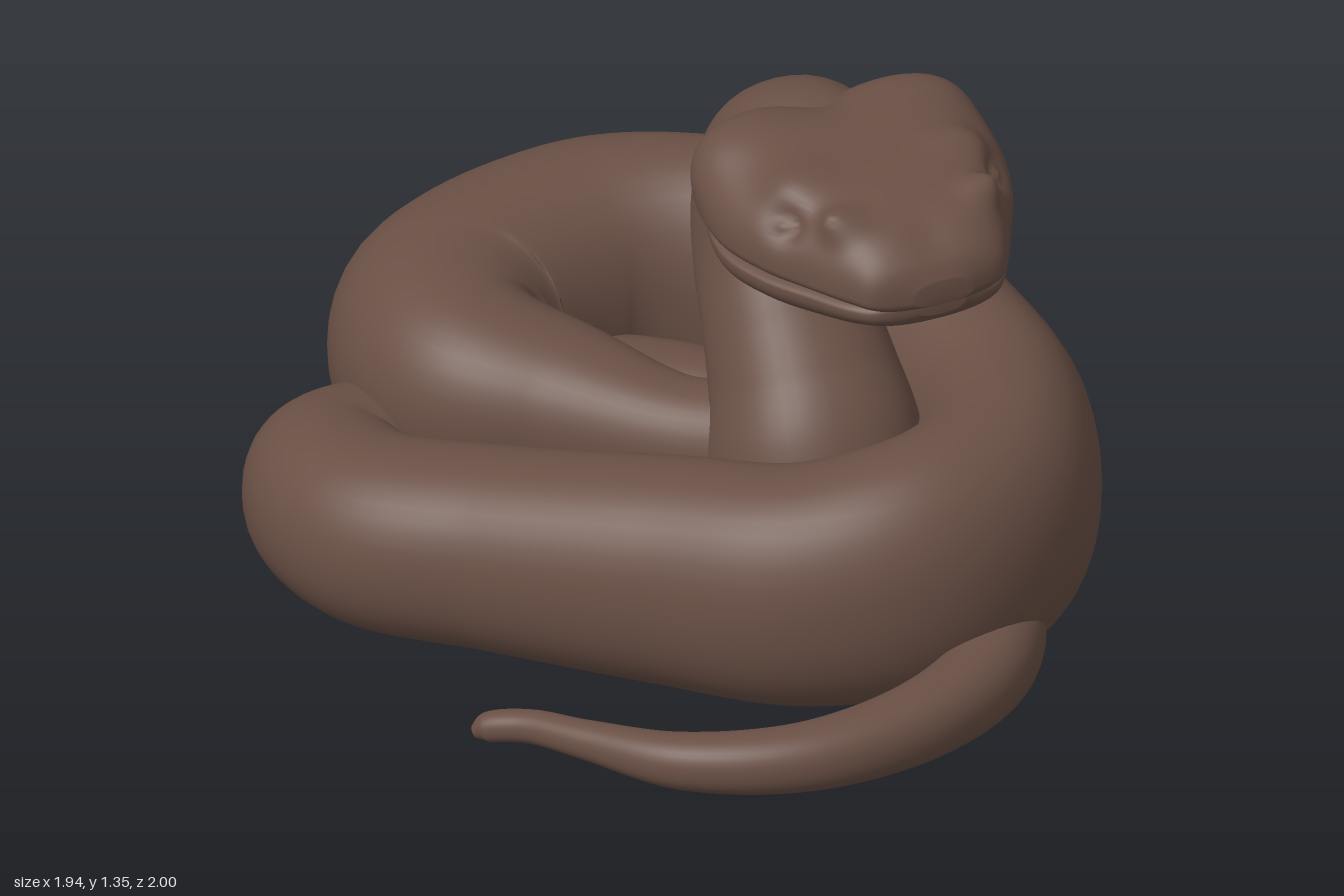
import * as THREE from 'three';

const UP = new THREE.Vector3(0, 1, 0);
const FORWARD = new THREE.Vector3(1, 0, 1).normalize(); // direction the head faces
const SIDE = new THREE.Vector3(1, 0, -1).normalize();

// Skin closed rings of points (counter-clockwise about the travel direction) and cap both ends
function skin(rings) {
  const n = rings[0].length, pos = [], idx = [];
  rings.forEach(r => r.forEach(p => pos.push(p.x, p.y, p.z)));
  for (let i = 0; i < rings.length - 1; i++) {
    for (let j = 0; j < n; j++) {
      const k = (j + 1) % n, a = i * n + j, b = i * n + k, c = a + n, d = b + n;
      idx.push(a, b, c, b, d, c);
    }
  }
  [0, rings.length - 1].forEach(i => {
    const m = rings[i].reduce((s, p) => s.add(p), new THREE.Vector3()).divideScalar(n);
    const center = pos.length / 3;
    pos.push(m.x, m.y, m.z);
    for (let j = 0; j < n; j++) {
      const a = i * n + j, b = i * n + (j + 1) % n;
      if (i === 0) idx.push(center, b, a); else idx.push(center, a, b);
    }
  });
  const g = new THREE.BufferGeometry();
  g.setAttribute('position', new THREE.Float32BufferAttribute(pos, 3));
  g.setIndex(idx);
  g.computeVertexNormals();
  return g;
}

const pow = (v, e) => Math.sign(v) * Math.pow(Math.abs(v), e);

// Oval tube along stations [x, y, z, halfWidth, halfHeight]
function tube(stations, steps, fixedSide) {
  const path = new THREE.CatmullRomCurve3(stations.map(s => new THREE.Vector3(s[0], s[1], s[2])));
  const size = new THREE.CatmullRomCurve3(stations.map(s => new THREE.Vector3(s[3], s[4] ?? s[3], 0)), false, 'catmullrom', 0.5);
  const rings = [], sides = 40;
  for (let i = 0; i <= steps; i++) {
    const t = i / steps, c = path.getPoint(t), T = path.getTangent(t), r = size.getPoint(t);
    const side = fixedSide ? fixedSide.clone() : new THREE.Vector3().crossVectors(UP, T).normalize();
    const up = new THREE.Vector3().crossVectors(T, side).normalize();
    const ring = [];
    for (let j = 0; j < sides; j++) {
      const a = j / sides * Math.PI * 2;
      ring.push(c.clone().addScaledVector(side, r.x * pow(Math.cos(a), 0.92)).addScaledVector(up, r.y * pow(Math.sin(a), 0.92)));
    }
    rings.push(ring);
  }
  return skin(rings);
}

// Head space: f forward, s sideways, y height
const headPoint = (f, s, y) => new THREE.Vector3(0.165, y, -0.165).addScaledVector(FORWARD, f).addScaledVector(SIDE, s);

// Swellings and hollows of the head, mirrored across it: [f, s, y, radius, amount]
const BUMPS = [
  [0.28, 0.23, 1.3, 0.13, 0.055],   // cheek lobes
  [0.16, 0, 1.32, 0.12, -0.05],     // notch between the lobes
  [0.54, 0.2, 1.32, 0.075, 0.035],  // brow ridges
  [0.7, 0.17, 1.29, 0.045, 0.05],   // nose horns
  [0.6, 0.27, 1.26, 0.04, -0.03],   // eye sockets
  [0.59, 0.275, 1.255, 0.016, 0.022], // eyes
  [0.78, 0, 1.28, 0.09, -0.015],    // dip on the snout
];

// Head shell along stations [f, halfWidth, top, middle, bottom]
function headLoft(stations, square, bumps) {
  const cA = new THREE.CatmullRomCurve3(stations.map(s => new THREE.Vector3(s[0], s[1], s[2])));
  const cB = new THREE.CatmullRomCurve3(stations.map(s => new THREE.Vector3(s[3], s[4], s[0])));
  const rings = [], steps = 90, sides = 96;
  for (let i = 0; i <= steps; i++) {
    const A = cA.getPoint(i / steps), B = cB.getPoint(i / steps), ring = [];
    for (let j = 0; j < sides; j++) {
      const a = j / sides * Math.PI * 2, sn = Math.sin(a);
      const h = sn > 0 ? A.z - B.x : B.x - B.y;
      const s = A.y * pow(Math.cos(a), square), y = B.x + h * pow(sn, square);
      let push = 0;
      for (const [bf, bs, by, r, amount] of bumps) {
        const d2 = (A.x - bf) ** 2 + (Math.abs(s) - bs) ** 2 + (y - by) ** 2;
        push += amount * Math.exp(-d2 / (r * r));
      }
      const len = Math.hypot(s, y - B.x) || 1;
      ring.push(headPoint(A.x, s * (1 + push / len), y + push * (y - B.x) / len));
    }
    rings.push(ring);
  }
  return skin(rings);
}

export function createModel() {
  const group = new THREE.Group();
  const skinMat = new THREE.MeshStandardMaterial({ color: 0x6a5045 });
  skinMat.name = 'brown skin';
  const add = (name, geometry) => {
    const m = new THREE.Mesh(geometry, skinMat);
    m.name = name;
    group.add(m);
  };

  // Tail, thickening as it winds under the coil
  add('tail', tube([
    [-0.2, 0.065, 0.87, 0.015], [-0.17, 0.08, 0.865, 0.034], [-0.07, 0.1, 0.865, 0.038],
    [0.08, 0.11, 0.9, 0.045], [0.32, 0.115, 0.93, 0.065], [0.58, 0.125, 0.84, 0.078],
    [0.77, 0.13, 0.62, 0.09], [0.845, 0.13, 0.35, 0.1], [0.78, 0.13, 0.1, 0.11],
    [0.6, 0.14, -0.04, 0.12], [0.4, 0.16, -0.17, 0.125], [0.18, 0.19, -0.34, 0.13], [-0.1, 0.22, -0.455, 0.125],
    [-0.38, 0.24, -0.36, 0.14], [-0.58, 0.22, -0.17, 0.17],
  ], 150));

  // Main coil: front, right, back, left, then inward to the neck
  add('bodyCoil', tube([
    [-0.5, 0.22, -0.23, 0.14], [-0.67, 0.215, -0.04, 0.18], [-0.775, 0.22, 0.16, 0.2, 0.205], [-0.62, 0.23, 0.33, 0.215, 0.22],
    [-0.3, 0.25, 0.365, 0.215, 0.235], [0.1, 0.275, 0.38, 0.22, 0.265], [0.42, 0.295, 0.38, 0.22, 0.285],
    [0.65, 0.325, 0.26, 0.22, 0.305], [0.745, 0.33, 0.02, 0.225, 0.31], [0.665, 0.33, -0.27, 0.22, 0.315],
    [0.45, 0.345, -0.51, 0.215, 0.325], [0.19, 0.355, -0.735, 0.225, 0.34], [-0.15, 0.36, -0.785, 0.215, 0.34],
    [-0.45, 0.365, -0.675, 0.26, 0.325], [-0.645, 0.37, -0.32, 0.28, 0.3], [-0.54, 0.395, -0.1, 0.24, 0.25],
    [-0.28, 0.4, -0.04, 0.185, 0.19], [0, 0.395, 0.01, 0.13, 0.15], [0.2, 0.41, 0, 0.14, 0.15],
    [0.36, 0.42, -0.02, 0.13],
  ], 220));

  // Raised S-shaped neck, flared where it leaves the coil
  add('neck', tube([
    [0.34, 0.36, 0.03, 0.25], [0.31, 0.48, 0, 0.24], [0.275, 0.58, -0.045, 0.215], [0.225, 0.69, -0.1, 0.197],
    [0.18, 0.8, -0.16, 0.19], [0.16, 0.92, -0.195, 0.188, 0.183], [0.19, 1.05, -0.165, 0.185, 0.183],
    [0.28, 1.14, -0.07, 0.175], [0.42, 1.18, 0.08, 0.15],
  ], 80, SIDE));

  // Upper head and lower jaw, meeting at the mouth crease
  add('upperHead', headLoft([
    [0.15, 0.1, 1.28, 1.22, 1.16], [0.18, 0.22, 1.32, 1.21, 1.13], [0.24, 0.3, 1.345, 1.2, 1.115], [0.32, 0.34, 1.35, 1.19, 1.105],
    [0.44, 0.355, 1.345, 1.17, 1.095], [0.57, 0.32, 1.335, 1.16, 1.095], [0.68, 0.26, 1.315, 1.15, 1.1],
    [0.78, 0.205, 1.28, 1.15, 1.1], [0.83, 0.165, 1.235, 1.145, 1.105], [0.86, 0.07, 1.18, 1.14, 1.12],
  ], 0.82, BUMPS));
  add('lowerJaw', headLoft([
    [0.16, 0.1, 1.22, 1.18, 1.14], [0.2, 0.22, 1.22, 1.16, 1.08], [0.31, 0.32, 1.18, 1.135, 1.025],
    [0.43, 0.345, 1.15, 1.115, 1], [0.56, 0.312, 1.14, 1.105, 1.005], [0.68, 0.252, 1.14, 1.105, 1.02],
    [0.78, 0.196, 1.14, 1.105, 1.045], [0.825, 0.15, 1.14, 1.105, 1.065], [0.85, 0.06, 1.14, 1.115, 1.09],
  ], 0.88, []));
  return group;
}
